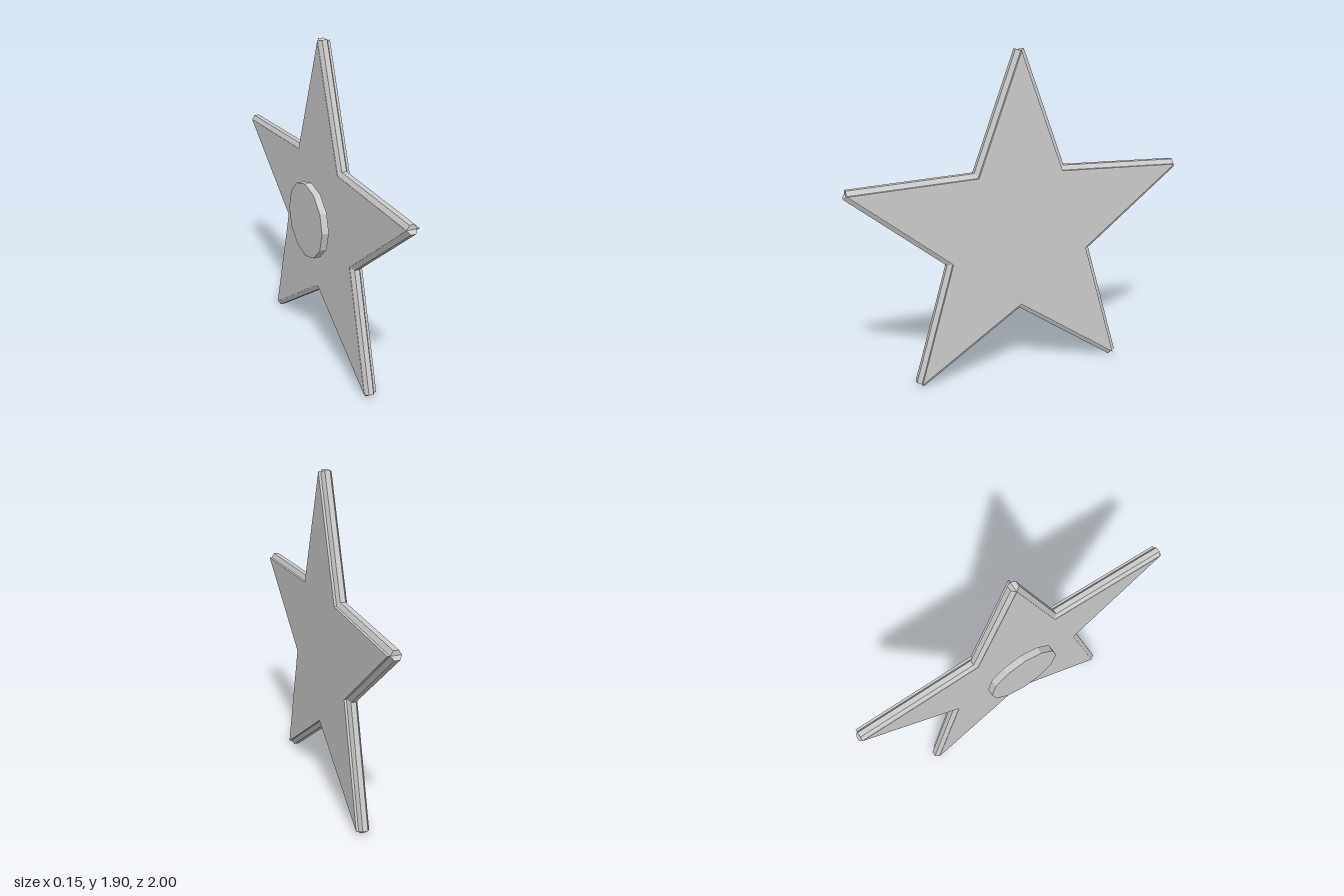
import * as THREE from 'three';

const CENTER_Y = 0.86;
const OUTER = 1.036;
const INNER = 0.43;

// Star outline, first point at the top; x runs sideways, y up
function starPoints() {
  const points = [];
  for (let i = 0; i < 10; i++) {
    const r = i % 2 ? INNER : OUTER;
    const a = (i * Math.PI) / 5;
    points.push(new THREE.Vector2(r * Math.sin(a), CENTER_Y + r * Math.cos(a)));
  }
  return points;
}

export function createModel() {
  const group = new THREE.Group();
  const material = new THREE.MeshStandardMaterial({ color: 0xcccccc, flatShading: true });
  const points = starPoints();

  // Flat star plate, its faces looking to the sides
  const plateGeometry = new THREE.ExtrudeGeometry(new THREE.Shape(points), { depth: 0.076, bevelEnabled: false });
  plateGeometry.rotateY(Math.PI / 2);
  const plate = new THREE.Mesh(plateGeometry, material);
  plate.name = 'starPlate';
  group.add(plate);

  // Six-sided bars along every edge of the star
  const rim = new THREE.Group();
  rim.name = 'rim';
  points.forEach((p, i) => {
    const q = points[(i + 1) % points.length];
    const geometry = new THREE.CylinderGeometry(0.03, 0.03, p.distanceTo(q), 6);
    geometry.rotateY(Math.PI / 2);
    const bar = new THREE.Mesh(geometry, material);
    bar.name = 'rimBar';
    bar.position.set(0.032, (p.y + q.y) / 2, (p.x + q.x) / 2);
    bar.rotation.x = Math.atan2(q.x - p.x, q.y - p.y);
    rim.add(bar);
  });
  group.add(rim);

  // Twelve-sided disc set apart from the plate
  const discGeometry = new THREE.CylinderGeometry(0.224, 0.224, 0.042, 12);
  discGeometry.rotateZ(Math.PI / 2);
  const disc = new THREE.Mesh(discGeometry, material);
  disc.name = 'backDisc';
  disc.position.set(-0.056, 0.862, 0);
  group.add(disc);

  return group;
}
